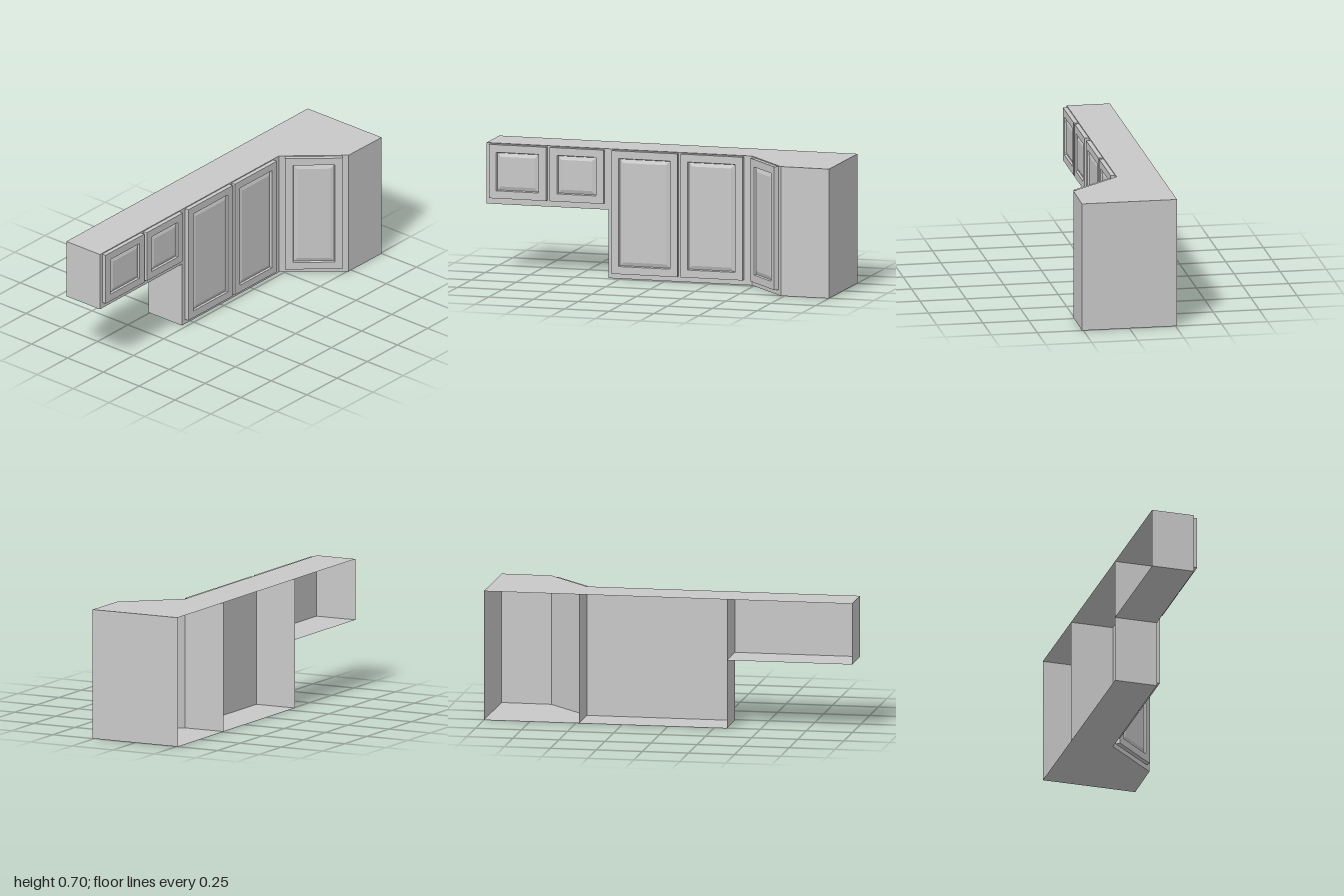
import * as THREE from 'three';

const BACK = -0.258, FACE = -0.024, TOP = 0.70, THICK = 0.024;

// Non-indexed geometry from quads of four corners (counter-clockwise seen from outside)
function quads(list) {
  const pos = [];
  for (const [a, b, c, d] of list) pos.push(...a, ...b, ...c, ...a, ...c, ...d);
  const g = new THREE.BufferGeometry();
  g.setAttribute('position', new THREE.Float32BufferAttribute(pos, 3));
  g.computeVertexNormals();
  return g;
}

// Open-backed carcass: path of [x, z] runs back left, along the front, to back right
function cabinet(name, path, y0, y1, mat, skip = -1) {
  const group = new THREE.Group();
  group.name = name;
  const add = (part, geo, y = 0) => {
    const m = new THREE.Mesh(geo, mat);
    m.name = part;
    m.position.y = y;
    group.add(m);
  };
  const walls = [];
  for (let i = 0; i < path.length - 1; i++) {
    if (i === skip) continue; // wall shared with the neighbouring cabinet
    const [ax, az] = path[i], [bx, bz] = path[i + 1];
    walls.push([[ax, y0, az], [bx, y0, bz], [bx, y1, bz], [ax, y1, az]]);
  }
  add('walls', quads(walls));
  const outline = s => new THREE.ShapeGeometry(
    new THREE.Shape(path.map(([x, z]) => new THREE.Vector2(x, s * z))));
  add('topPanel', outline(-1).rotateX(-Math.PI / 2), y1);
  add('bottomPanel', outline(1).rotateX(Math.PI / 2), y0);
  return group;
}

// Raised-panel door: nested rectangles of [inset, depth]; back face lies at z = 0
function door(name, w, h, mat) {
  const profile = [[0, 0], [0, THICK], [0.041, THICK], [0.045, 0.013], [0.065, 0.02]];
  const rings = profile.map(([i, z]) => {
    const x = w / 2 - i, y = h / 2 - i;
    return [[-x, -y, z], [x, -y, z], [x, y, z], [-x, y, z]];
  });
  const list = [rings[rings.length - 1]];
  for (let r = 0; r < rings.length - 1; r++) {
    for (let k = 0; k < 4; k++) {
      const n = (k + 1) % 4;
      list.push([rings[r][k], rings[r][n], rings[r + 1][n], rings[r + 1][k]]);
    }
  }
  const m = new THREE.Mesh(quads(list), mat);
  m.name = name;
  return m;
}

export function createModel() {
  const model = new THREE.Group();
  model.name = 'wallCabinets';
  const grey = new THREE.MeshStandardMaterial({ color: 0xc8c8c8, side: THREE.DoubleSide });
  grey.name = 'cabinetGrey';

  // Carcasses
  const box = (x0, x1) => [[x0, BACK], [x0, FACE], [x1, FACE], [x1, BACK]];
  const diagA = [0.484, FACE], diagB = [0.73, 0.255];
  model.add(
    cabinet('shortCabinet', box(-1, -0.32), 0.37, TOP, grey, 2),
    cabinet('tallCabinet', box(-0.32, 0.484), 0, TOP, grey),
    cabinet('cornerCabinet',
      [[0.484, BACK], diagA, diagB, [1, 0.258], [1, BACK]], 0, TOP, grey, 0));

  // Straight doors: [name, left, right, bottom]
  const doorTop = 0.695;
  for (const [name, x0, x1, y0] of [
    ['shortDoorOuter', -0.98, -0.66, 0.404],
    ['shortDoorInner', -0.64, -0.34, 0.404],
    ['tallDoorOuter', -0.295, 0.073, 0.028],
    ['tallDoorInner', 0.09, 0.437, 0.028],
  ]) {
    const d = door(name, x1 - x0, doorTop - y0, grey);
    d.position.set((x0 + x1) / 2, (doorTop + y0) / 2, FACE);
    model.add(d);
  }

  // Diagonal corner door
  const dx = diagB[0] - diagA[0], dz = diagB[1] - diagA[1];
  const corner = door('cornerDoor', Math.hypot(dx, dz) - 0.065, doorTop - 0.028, grey);
  corner.position.set((diagA[0] + diagB[0]) / 2, (doorTop + 0.028) / 2, (diagA[1] + diagB[1]) / 2);
  corner.rotation.y = -Math.atan2(dz, dx);
  model.add(corner);

  return model;
}
